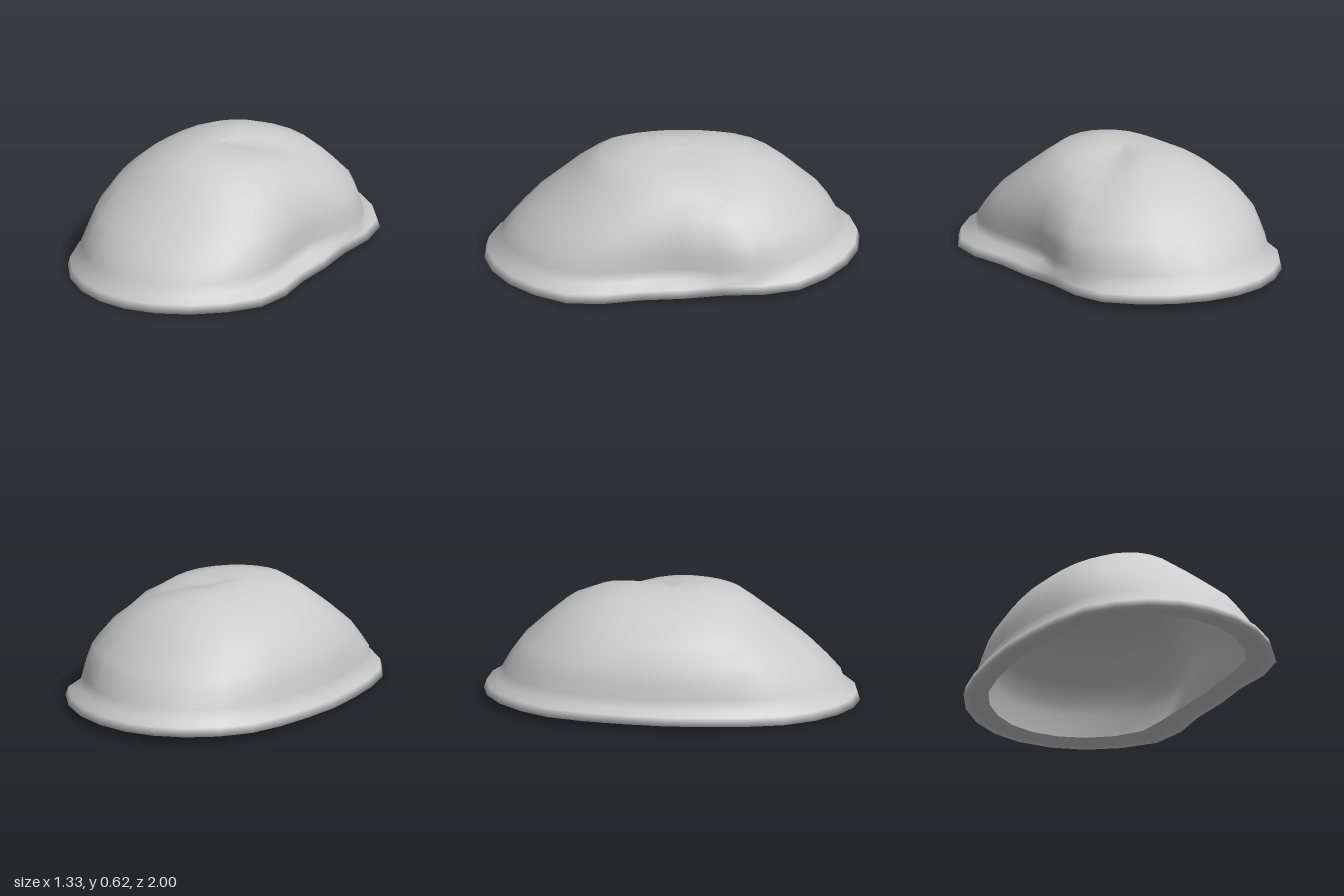
import * as THREE from 'three';

const SEGMENTS = 28;

// Each level: [height, left, right, front, back, depth of the side dent]
const INNER_EDGE = [0.005, 0.60, 0.65, 0.86, 0.86, 0.125];
const RIM = [
  INNER_EDGE,
  [0, 0.69, 0.75, 0.95, 0.95, 0.14],
  [0, 0.732, 0.81, 1, 1, 0.152],
  [0.045, 0.722, 0.795, 0.985, 0.985, 0.15],
];
const DOME = [
  [0.07, 0.675, 0.725, 0.93, 0.93, 0.17],
  [0.13, 0.67, 0.72, 0.91, 0.90, 0.165],
  [0.21, 0.65, 0.712, 0.835, 0.86, 0.16],
  [0.30, 0.63, 0.70, 0.74, 0.80, 0.15],
  [0.42, 0.55, 0.63, 0.585, 0.68, 0.125],
  [0.515, 0.43, 0.52, 0.465, 0.57, 0.085],
  [0.583, 0.28, 0.375, 0.378, 0.41, 0.04],
  [0.615, 0.14, 0.21, 0.23, 0.27, 0],
  [0.624, 0.06, 0.09, 0.13, 0.18, 0],
  [0.622, 0, 0, 0, 0, 0],
];

// Point on a level's outline, with the side dent, top groove and tilt applied
function outlinePoint([y, left, right, front, back, dent], angle) {
  const c = Math.cos(angle), s = Math.sin(angle);
  const z = s * (s > 0 ? front : back);
  const rise = THREE.MathUtils.smoothstep(y, 0.05, 0.5);
  let x = c * (c > 0 ? right : left);
  if (c > 0) {
    // The dent is broad and flat on the rim, softer on the dome and longer to the front
    const away = z - 0.05;
    const falloff = y < 0.05
      ? Math.exp(-((z / 0.45) ** 4))
      : Math.exp(-((away / (away > 0 ? 0.43 : 0.3)) ** 2));
    x -= dent * falloff * Math.min(1, c * 1.6);
  } else {
    x += 0.09 * left * Math.exp(-((s / 0.53) ** 4)); // flattened far side
  }
  // Shallow groove running diagonally down from the crown
  const t = THREE.MathUtils.clamp(((x - 0.12) * 0.79 - (z + 0.06) * 0.61) / 0.54, 0, 1);
  const gap = Math.hypot(x - 0.12 - 0.43 * t, z + 0.06 + 0.33 * t);
  const groove = 0.035 * rise * Math.exp(-((gap / 0.12) ** 2));
  const tilt = (0.02 - 0.02 * z) * (1 - rise);
  return [x, y + tilt - groove, z];
}

// Skin a stack of outlines
function loft(levels, name, material) {
  const positions = [], index = [];
  levels.forEach((level, row) => {
    for (let i = 0; i < SEGMENTS; i++) {
      positions.push(...outlinePoint(level, (i / SEGMENTS) * Math.PI * 2));
      if (row === levels.length - 1) continue;
      const a = row * SEGMENTS + i;
      const b = row * SEGMENTS + ((i + 1) % SEGMENTS);
      index.push(a, a + SEGMENTS, b, b, a + SEGMENTS, b + SEGMENTS);
    }
  });
  const geometry = new THREE.BufferGeometry();
  geometry.setAttribute('position', new THREE.Float32BufferAttribute(positions, 3));
  geometry.setIndex(index);
  geometry.computeVertexNormals();
  const mesh = new THREE.Mesh(geometry, material);
  mesh.name = name;
  return mesh;
}

export function createModel() {
  const group = new THREE.Group();
  group.name = 'dentedDome';
  const material = new THREE.MeshStandardMaterial({ color: 0xcccccc, side: THREE.DoubleSide });

  // Inner lining: the dome shrunk by the wall thickness, from crown to inner edge
  const lining = DOME.slice(1).map(([y, l, r, f, b, d]) =>
    [y * 0.91, l * 0.89, r * 0.89, f * 0.92, b * 0.92, d * 0.9]).reverse();
  lining.push(INNER_EDGE);

  group.add(
    loft([...RIM, ...DOME], 'domeShellWithRim', material),
    loft(lining, 'innerLining', material),
  );
  return group;
}
